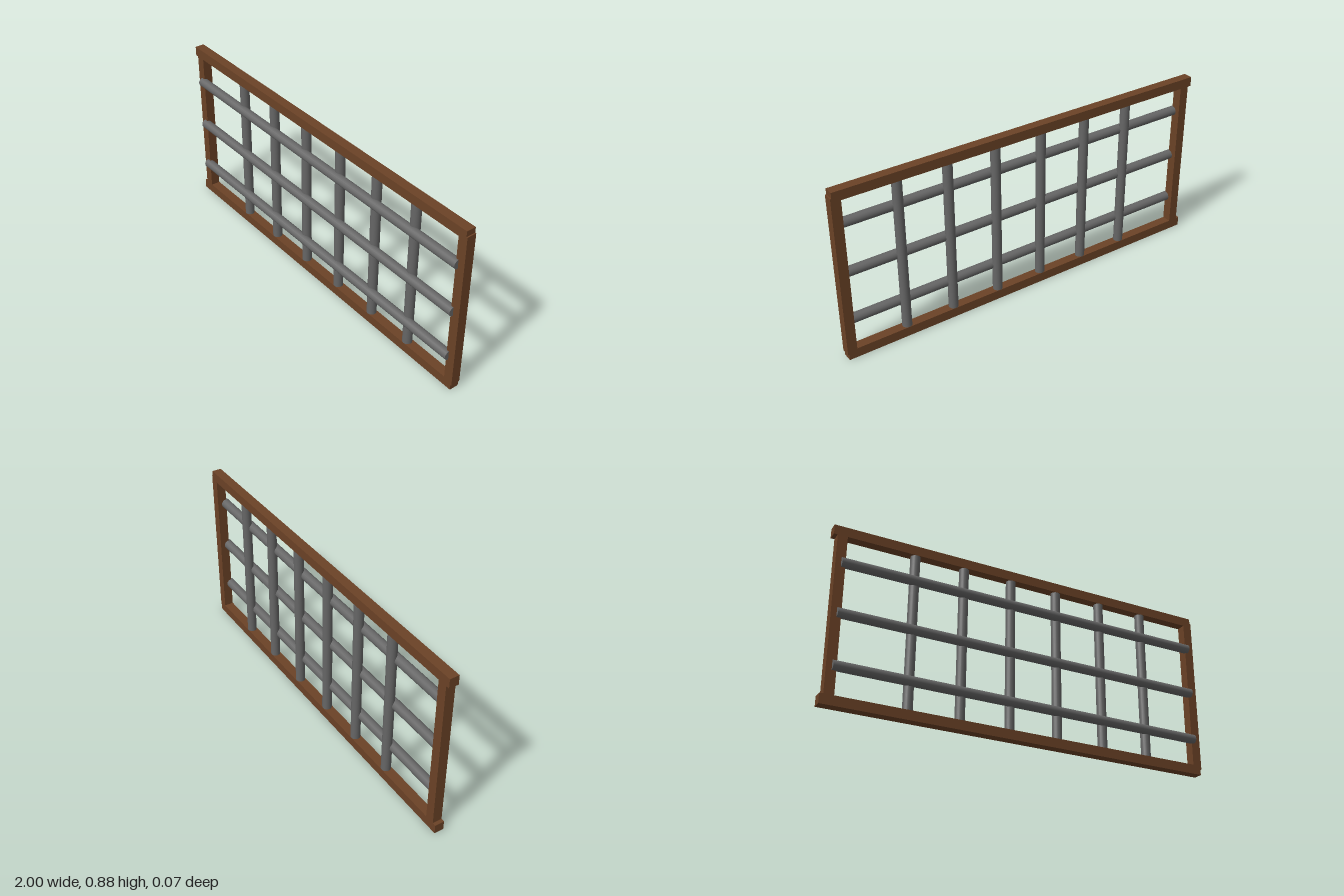
import * as THREE from 'three';

export function createModel() {
  const group = new THREE.Group();
  const wood = new THREE.MeshStandardMaterial({ color: 0x6b4226 });
  const iron = new THREE.MeshStandardMaterial({ color: 0x666666 });
  const depth = 0.048, frameZ = -0.011, radius = 0.024;

  const beam = (name, x0, x1, y0, y1) => {
    const mesh = new THREE.Mesh(new THREE.BoxGeometry(x1 - x0, y1 - y0, depth), wood);
    mesh.position.set((x0 + x1) / 2, (y0 + y1) / 2, frameZ);
    mesh.name = name;
    group.add(mesh);
  };

  const bar = (name, length, x, y, z) => {
    const mesh = new THREE.Mesh(new THREE.CylinderGeometry(radius, radius, length, 20), iron);
    mesh.position.set(x, y, z);
    mesh.name = name;
    group.add(mesh);
    return mesh;
  };

  // Wooden frame: rails run slightly past the right post, left post stands proud
  beam('bottomRail', -1, 0.994, 0, 0.048);
  beam('topRail', -1, 0.994, 0.832, 0.88);
  beam('rightPost', -0.982, -0.934, 0.03, 0.852);
  beam('leftPost', 0.952, 1, 0.03, 0.852);

  // Upright bars, set between the rails
  for (let i = 0; i < 6; i++) bar('uprightBar' + (i + 1), 0.82, -0.591 + i * 0.2542, 0.44, -0.011);

  // Cross bars, laid over the front of the uprights
  for (let i = 0; i < 3; i++) {
    bar('crossBar' + (i + 1), 1.92, 0.005, 0.186 + i * 0.2542, 0.011).rotation.z = Math.PI / 2;
  }

  return group;
}
